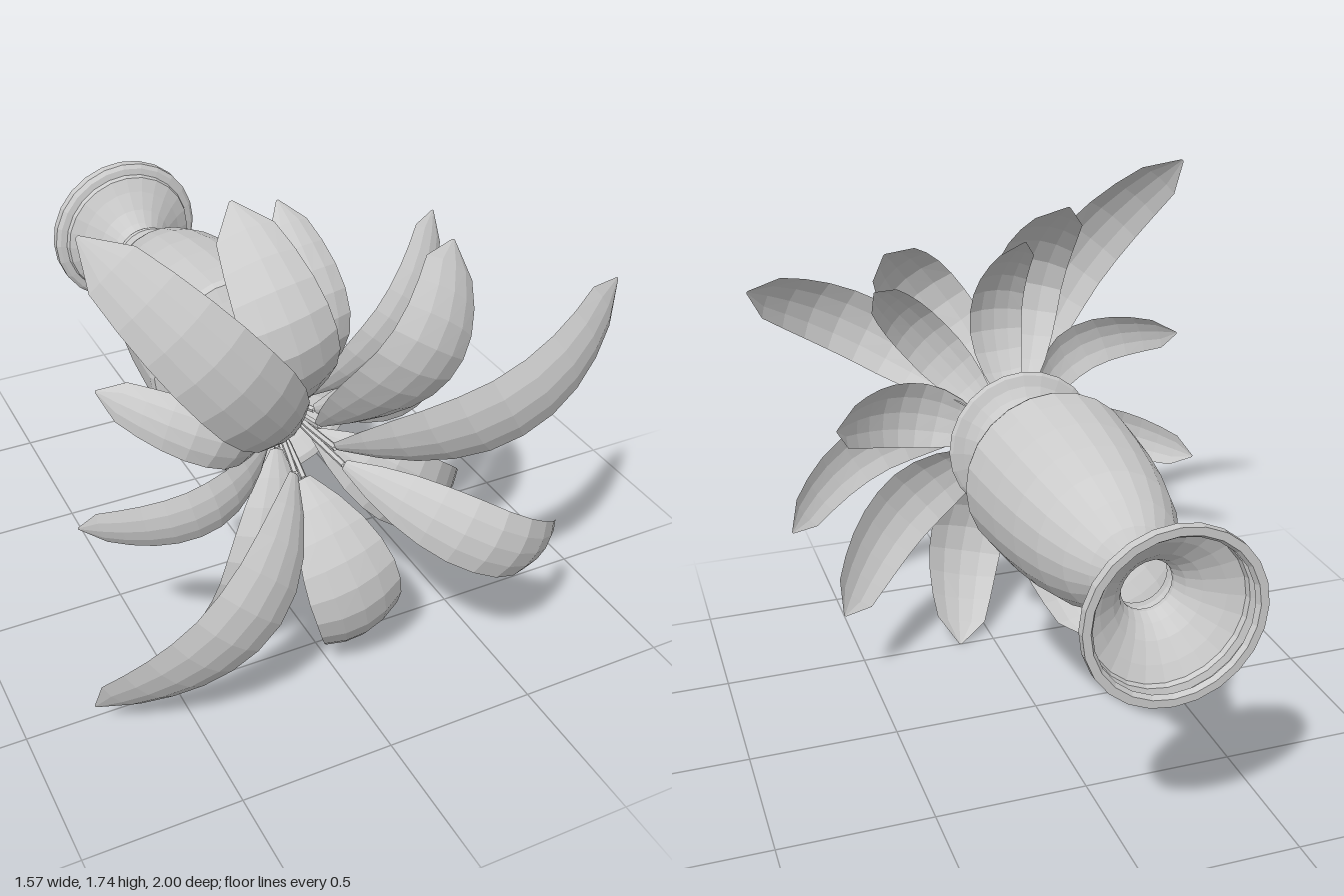
import * as THREE from 'three';

const material = new THREE.MeshStandardMaterial({
  color: 0xcccccc, flatShading: true, side: THREE.DoubleSide,
});
const CX = -0.063, CY = 0.87; // axis of the vase, which lies along z
const V = (x, y, z) => new THREE.Vector3(x, y, z);

// Thin-walled turned vase: [radius, z] from foot to rim, then a little way inside
function makeVase() {
  const profile = [
    [0.24, -0.985], [0.25, -1], [0.275, -1], [0.275, -0.97], [0.262, -0.957], [0.24, -0.952],
    [0.235, -0.935], [0.19, -0.91], [0.135, -0.87], [0.1, -0.83], [0.082, -0.79], [0.082, -0.775],
    [0.108, -0.77], [0.115, -0.755], [0.115, -0.742], [0.1, -0.73], [0.088, -0.725],
    [0.1, -0.71], [0.135, -0.68], [0.186, -0.6], [0.228, -0.49], [0.258, -0.36], [0.279, -0.22],
    [0.292, -0.08], [0.298, 0.01], [0.29, 0.03], [0.245, 0.055], [0.195, 0.085], [0.155, 0.115],
    [0.135, 0.15], [0.13, 0.18], [0.137, 0.21], [0.16, 0.25], [0.19, 0.28], [0.22, 0.3],
    [0.255, 0.312], [0.265, 0.322], [0.258, 0.335], [0.235, 0.33], [0.19, 0.295], [0.145, 0.25],
    [0.118, 0.2], [0.118, 0.16],
  ].map(([r, z]) => new THREE.Vector2(r, z));
  const vase = new THREE.Mesh(new THREE.LatheGeometry(profile, 24).rotateX(Math.PI / 2), material);
  vase.name = 'vase';
  vase.position.set(CX, CY, 0);
  return vase;
}

// Leaf outline: half width as a fraction along the length, ending in a blunt point
const OUTLINE = [0.15, 0.5, 0.76, 0.92, 1, 1, 0.97, 0.9, 0.79, 0.64, 0.04];

// Cambered blade swept along an arching spine
function makeBlade(curve, width) {
  const rows = OUTLINE.length - 1, cols = 4, pos = [], index = [];
  const outward = curve.getPoint(1).sub(curve.getPoint(0)).setZ(0).normalize();
  const across = V(-outward.y, outward.x, 0);
  for (let i = 0; i <= rows; i++) {
    const t = i / rows, p = curve.getPointAt(t), tangent = curve.getTangentAt(t);
    const side = across.clone().addScaledVector(tangent, -across.dot(tangent)).normalize();
    const normal = tangent.clone().cross(side).normalize();
    const w = width / 2 * OUTLINE[i];
    for (let j = 0; j <= cols; j++) {
      const u = j / cols * 2 - 1;
      const q = p.clone().addScaledVector(side, u * w)
        .addScaledVector(normal, -0.25 * w * u * u);
      pos.push(q.x, q.y, q.z);
      if (i < rows && j < cols) {
        const a = i * (cols + 1) + j, b = a + cols + 1;
        index.push(a, b, a + 1, b, b + 1, a + 1);
      }
    }
  }
  const g = new THREE.BufferGeometry();
  g.setAttribute('position', new THREE.Float32BufferAttribute(pos, 3));
  g.setIndex(index);
  g.computeVertexNormals();
  return new THREE.Mesh(g, material);
}

// A leaf with its stalk, rising from the mouth and bending outwards
function makeLeaf({ start, mid, tip, width }) {
  const leaf = new THREE.Group();
  leaf.name = 'leaf';
  const s = V(...start), m = V(...mid), e = V(...tip);
  // Even arch that passes through the middle point
  const control = m.clone().multiplyScalar(2).addScaledVector(s, -0.5).addScaledVector(e, -0.5);
  const blade = makeBlade(new THREE.QuadraticBezierCurve3(s, control, e), width);
  blade.name = 'blade';
  const along = (k, z) => V(CX + (s.x - CX) * k, CY + (s.y - CY) * k, z);
  const path = new THREE.CatmullRomCurve3(
    [along(0.25, 0.18), along(0.6, THREE.MathUtils.lerp(0.18, s.z, 0.65)), s]);
  const stalk = new THREE.Mesh(new THREE.TubeGeometry(path, 6, 0.01, 5), material);
  stalk.name = 'stalk';
  leaf.add(blade, stalk);
  return leaf;
}

export function createModel() {
  const model = new THREE.Group();
  model.name = 'vaseOfLeaves';
  model.add(makeVase());

  const leaves = [
    // long inner leaves
    { start: [-0.14, 0.95, 0.58], mid: [-0.42, 1.32, 0.87], tip: [-0.77, 1.75, 0.63], width: 0.26 },
    { start: [-0.03, 0.9, 0.64], mid: [0.34, 1.13, 0.99], tip: [0.78, 1.36, 0.81], width: 0.25 },
    { start: [-0.13, 0.8, 0.58], mid: [-0.42, 0.5, 0.84], tip: [-0.79, 0.11, 0.56], width: 0.27 },
    { start: [0, 0.83, 0.64], mid: [0.34, 0.65, 0.99], tip: [0.69, 0.44, 0.77], width: 0.22 },
    { start: [-0.04, 0.93, 0.56], mid: [0.14, 1.25, 0.83], tip: [0.33, 1.5, 0.63], width: 0.29 },
    { start: [-0.08, 0.74, 0.54], mid: [0.02, 0.37, 0.77], tip: [0.13, 0.01, 0.5], width: 0.3 },
    // middle leaves
    { start: [-0.1, 0.96, 0.48], mid: [-0.21, 1.33, 0.74], tip: [-0.27, 1.66, 0.44], width: 0.27 },
    { start: [-0.16, 0.92, 0.48], mid: [-0.41, 1.07, 0.7], tip: [-0.69, 1.17, 0.45], width: 0.19 },
    { start: [-0.16, 0.84, 0.46], mid: [-0.45, 0.77, 0.62], tip: [-0.76, 0.69, 0.42], width: 0.18 },
    // outer leaves, nearest the rim
    { start: [-0.06, 0.96, 0.41], mid: [-0.04, 1.28, 0.57], tip: [-0.08, 1.58, 0.34], width: 0.19 },
    { start: [0, 0.94, 0.41], mid: [0.22, 1.21, 0.55], tip: [0.43, 1.45, 0.36], width: 0.18 },
    { start: [0.02, 0.88, 0.41], mid: [0.3, 0.96, 0.52], tip: [0.59, 1.01, 0.3], width: 0.24 },
    { start: [0.01, 0.81, 0.43], mid: [0.31, 0.57, 0.59], tip: [0.6, 0.32, 0.3], width: 0.26 },
    { start: [-0.11, 0.78, 0.42], mid: [-0.23, 0.41, 0.59], tip: [-0.33, 0.04, 0.34], width: 0.28 },
  ];
  const foliage = new THREE.Group();
  foliage.name = 'foliage';
  leaves.forEach((spec) => foliage.add(makeLeaf(spec)));
  model.add(foliage);
  return model;
}
